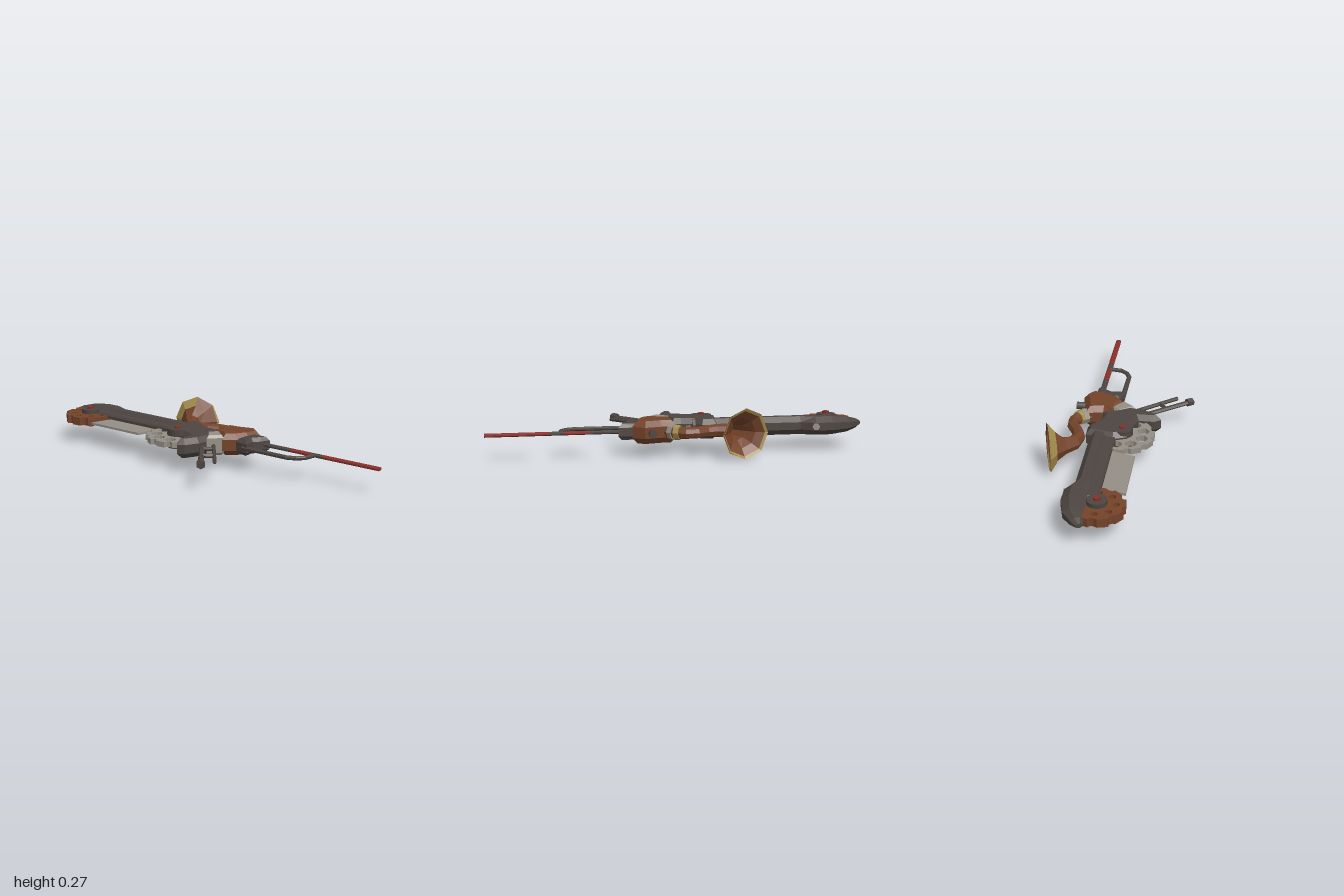
import * as THREE from 'three';

const Y = 0.133; // height of the mid plane
const mat = (name, color) => Object.assign(new THREE.MeshStandardMaterial({ color }), { name });

export function createModel() {
  const group = new THREE.Group();
  const iron = mat('dark iron', 0x4d4541);
  const copper = mat('copper brown', 0x74432a);
  const red = mat('dull red', 0x8a302a);
  const steel = mat('pale steel', 0x958f86);
  const brass = mat('brass', 0xa68e4e);
  const copperShell = mat('copper shell', 0x74432a);
  const brassShell = mat('brass shell', 0xa68e4e);
  copperShell.side = brassShell.side = THREE.DoubleSide;

  const add = (name, geometry, material) => {
    const mesh = new THREE.Mesh(geometry, material);
    mesh.name = name;
    group.add(mesh);
    return mesh;
  };

  // Flat part cut from an [x, z] outline, centred on the mid plane, with chamfered edges
  const plate = (name, outline, thick, bevel, material, holes = []) => {
    const shape = new THREE.Shape(outline.map(([x, z]) => new THREE.Vector2(x, z)));
    for (const [x, z, r] of holes) {
      shape.holes.push(new THREE.Path().absarc(x, z, r, 0, Math.PI * 2, true));
    }
    const depth = thick - 2 * bevel;
    const geo = new THREE.ExtrudeGeometry(shape, {
      depth, curveSegments: 5, bevelEnabled: bevel > 0, bevelThickness: bevel,
      bevelSize: bevel * 0.8, bevelOffset: -bevel * 0.8, bevelSegments: 1,
    });
    geo.translate(0, 0, -depth / 2).rotateX(Math.PI / 2).translate(0, Y, 0);
    return add(name, geo, material);
  };

  // Faceted body swept through [x, z, halfWidth, halfHeight] sections
  const sweep = (name, sections, material, { sides = 8, turn = 0, open = false, from = 0, to = sides } = {}) => {
    const rings = sections.map(([x, z, w, h = w], i) => {
      const a = sections[Math.max(i - 1, 0)], b = sections[Math.min(i + 1, sections.length - 1)];
      const len = Math.hypot(b[0] - a[0], b[1] - a[1]);
      const tx = (b[0] - a[0]) / len, tz = (b[1] - a[1]) / len;
      const ring = [];
      for (let j = from; j <= to; j++) {
        const t = ((j + turn) / sides) * Math.PI * 2, c = Math.cos(t) * w;
        ring.push([x + tz * c, Y + Math.sin(t) * h, z - tx * c]);
      }
      return ring;
    });
    const pos = [];
    const tri = (...corners) => corners.forEach((p) => pos.push(...p));
    for (let i = 0; i + 1 < rings.length; i++) {
      for (let j = 0; j < to - from; j++) {
        const a = rings[i][j], b = rings[i][j + 1], c = rings[i + 1][j], d = rings[i + 1][j + 1];
        tri(a, b, c);
        tri(b, d, c);
      }
    }
    if (!open) {
      const n = sections.length - 1;
      const first = [sections[0][0], Y, sections[0][1]], last = [sections[n][0], Y, sections[n][1]];
      for (let j = 0; j < to - from; j++) {
        tri(first, rings[0][j + 1], rings[0][j]);
        tri(last, rings[n][j], rings[n][j + 1]);
      }
    }
    const geo = new THREE.BufferGeometry();
    geo.setAttribute('position', new THREE.Float32BufferAttribute(pos, 3));
    geo.computeVertexNormals();
    return add(name, geo, material);
  };

  const disc = (name, x, z, r, height, material, sides = 12) =>
    add(name, new THREE.CylinderGeometry(r, r, height, sides).toNonIndexed().translate(x, Y, z), material);

  // Toothed wheel with a ring of round holes
  const sprocket = (name, x, z, r, teeth, ringR, holeR, count, thick, material) => {
    const outline = [], holes = [];
    for (let i = 0; i < teeth; i++) {
      for (const [f, k] of [[0, 1], [0.55, 0.97], [0.7, 0.89], [0.9, 0.89]]) {
        const a = ((i + f) / teeth) * Math.PI * 2;
        outline.push([x + Math.cos(a) * r * k, z + Math.sin(a) * r * k]);
      }
    }
    for (let i = 0; i < count; i++) {
      const a = (i / count) * Math.PI * 2;
      holes.push([x + Math.cos(a) * ringR, z + Math.sin(a) * ringR, holeR]);
    }
    plate(name, outline, thick, 0, material, holes);
  };

  // Long saw housing with rounded nose and a lower ledge
  sweep('sawHousing', [
    [0.058, -1.0, 0.018, 0.012], [0.072, -0.97, 0.036, 0.028], [0.095, -0.91, 0.06, 0.043],
    [0.107, -0.82, 0.073, 0.053], [0.107, -0.74, 0.073, 0.053], [0.085, -0.66, 0.05, 0.052],
    [0.085, -0.2, 0.05, 0.052], [0.08, -0.08, 0.05, 0.05],
  ], iron, { turn: 0.5 });
  plate('housingLedge', [[0, -0.78], [0.07, -0.8], [0.07, -0.15], [-0.01, -0.15], [0, -0.3]], 0.064, 0.01, iron);
  add('housingPatch', new THREE.CylinderGeometry(0.02, 0.02, 0.008, 6).rotateZ(Math.PI / 2)
    .translate(0.174, Y, -0.73), steel);

  // Blade and sprockets
  plate('blade', [[-0.12, -0.71], [0.03, -0.67], [0.03, -0.31], [-0.12, -0.355]], 0.012, 0, steel);
  sprocket('noseSprocket', 0, -0.835, 0.142, 9, 0.092, 0.017, 8, 0.045, copper);
  sprocket('driveSprocket', -0.03, -0.15, 0.172, 11, 0.112, 0.031, 9, 0.03, steel);
  disc('noseHub', 0, -0.835, 0.05, 0.09, iron);
  disc('noseBolt', 0, -0.835, 0.019, 0.115, red, 6);
  disc('driveHub', -0.03, -0.15, 0.056, 0.104, iron);
  disc('driveBolt', -0.03, -0.15, 0.018, 0.122, red, 6);

  // Dark frame and the collar joining it to the copper body
  plate('frame', [
    [-0.06, -0.2], [0.01, -0.23], [0.155, -0.2], [0.155, -0.12], [0.11, -0.08], [0.095, -0.02], [0.1, 0.03],
    [0.03, 0.05], [-0.04, 0.09], [-0.12, 0.075], [-0.195, 0.04], [-0.215, 0.005], [-0.18, -0.02],
    [-0.1, -0.02], [-0.07, -0.09],
  ], 0.104, 0.028, iron);
  plate('collar', [[0.01, 0.02], [0.06, 0.07], [0.0, 0.145], [-0.07, 0.085]], 0.11, 0.015, steel);

  // Copper body with side peg and dark grip root
  plate('copperBody', [
    [0.04, 0.015], [0.1, 0.04], [0.19, 0.02], [0.2, 0.1], [0.225, 0.19], [0.18, 0.25], [0.1, 0.23],
    [0.04, 0.2], [-0.01, 0.14], [0.03, 0.08],
  ], 0.118, 0.03, copper);
  add('sidePeg', new THREE.CylinderGeometry(0.021, 0.021, 0.09, 8).toNonIndexed().rotateZ(Math.PI / 2)
    .translate(0.215, Y, 0.153), iron);
  plate('gripRoot', [[0.03, 0.2], [0.165, 0.2], [0.165, 0.32], [0.12, 0.3], [0.08, 0.275], [0.015, 0.28]],
    0.085, 0.02, iron);

  // Rear rod in alternating bands, with its guard loop
  [[0.25, 0.47, iron], [0.47, 0.6, red], [0.6, 0.67, iron], [0.67, 1.0, red]].forEach(([a, b, m], i) =>
    sweep('rodBand' + (i + 1), [[0.146, a, 0.016, 0.01], [0.146, b, 0.016, 0.01]], m, { turn: 0.5 }));
  sweep('guardLoop', [
    [0.025, 0.25, 0.015, 0.011], [0.022, 0.53, 0.013, 0.011], [0.04, 0.575, 0.013, 0.011],
    [0.075, 0.605, 0.013, 0.011], [0.146, 0.617, 0.013, 0.011],
  ], iron, { turn: 0.5 });

  // Forked side handle
  const bar = (name, a, b, r) => sweep(name, [[...a, r, 0.011], [...b, r, 0.011]], iron, { sides: 6 });
  bar('handleBar', [-0.07, 0.055], [-0.345, 0.272], 0.015);
  bar('handleLowerBar', [-0.02, 0.09], [-0.275, 0.305], 0.01);
  bar('handleRung', [-0.225, 0.18], [-0.185, 0.23], 0.01);
  bar('handleInnerRung', [-0.12, 0.1], [-0.09, 0.15], 0.01);
  sweep('handleKnob', [[-0.332, 0.262, 0.024, 0.022], [-0.358, 0.283, 0.024, 0.022]], iron, { sides: 6, turn: 0.5 });

  // Curved horn with flared bell, collars and brass lip
  sweep('horn', [
    [0.16, 0.07, 0.04], [0.215, 0.03, 0.034], [0.247, -0.02, 0.03], [0.243, -0.075, 0.03],
    [0.21, -0.13, 0.031], [0.193, -0.19, 0.034], [0.207, -0.25, 0.037], [0.252, -0.287, 0.045],
    [0.295, -0.299, 0.08], [0.33, -0.31, 0.13],
  ], copperShell, { open: true });
  sweep('hornSteelCollar', [[0.19, 0.048, 0.042], [0.212, 0.032, 0.041]], steel);
  sweep('hornBrassCollar', [[0.213, 0.031, 0.04], [0.229, 0.008, 0.038]], brass);
  sweep('bellBrassFlank', [[0.297, -0.299, 0.087], [0.331, -0.31, 0.133]], brassShell,
    { open: true, from: -2, to: 2 });
  sweep('bellLip', [[0.325, -0.308, 0.117], [0.332, -0.31, 0.131]], brassShell, { open: true });

  return group;
}
